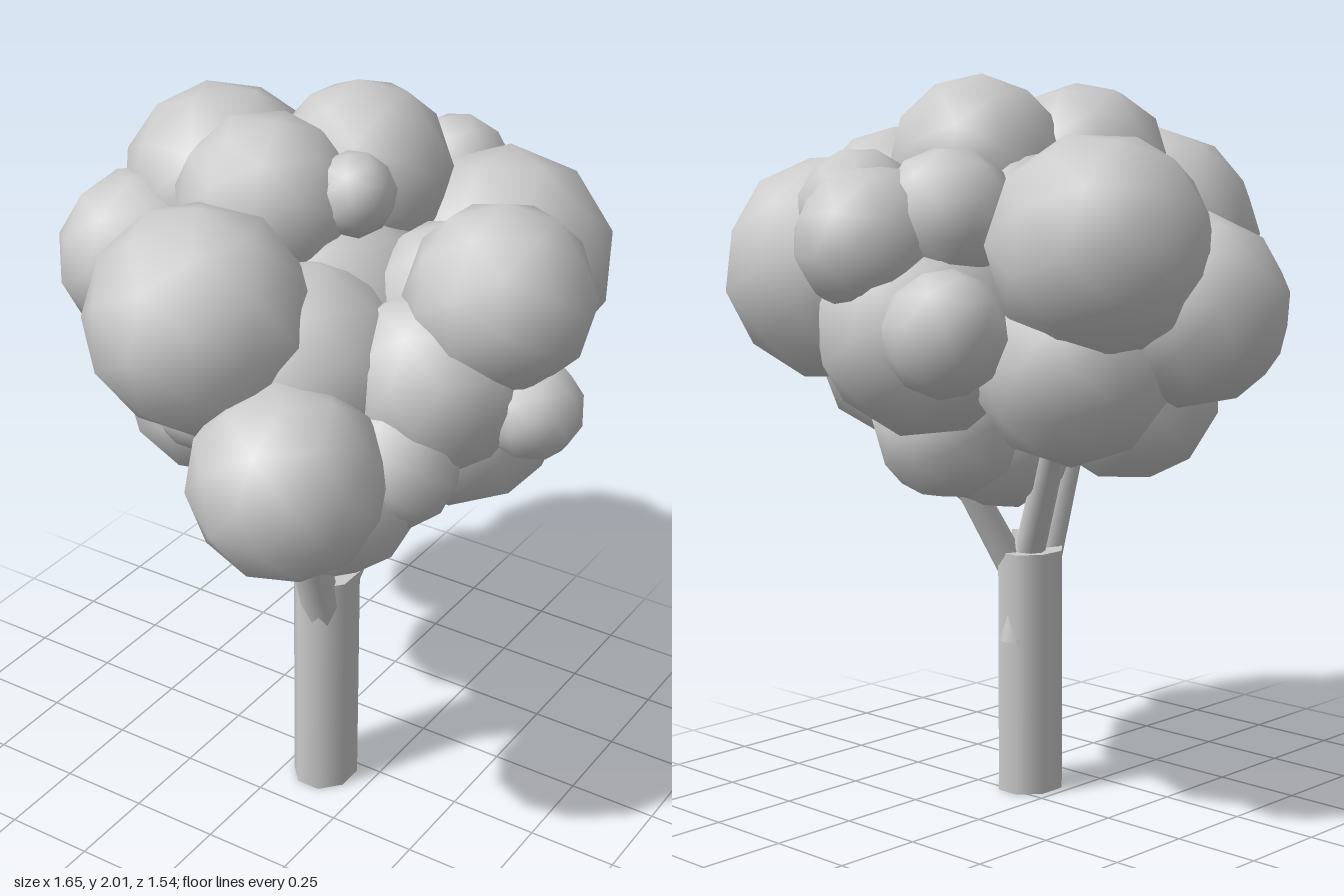
import * as THREE from 'three';

const material = new THREE.MeshStandardMaterial({ color: 0xcccccc });

// Tapered branch between two points
function branch(name, from, to, r0, r1, sides = 8) {
  const a = new THREE.Vector3(...from), b = new THREE.Vector3(...to);
  const dir = b.clone().sub(a);
  const mesh = new THREE.Mesh(new THREE.CylinderGeometry(r1, r0, dir.length(), sides), material);
  mesh.position.copy(a).add(b).multiplyScalar(0.5);
  mesh.quaternion.setFromUnitVectors(new THREE.Vector3(0, 1, 0), dir.normalize());
  mesh.name = name;
  return mesh;
}

// Foliage clumps: x, y, z, radius
const frontClumps = [
  [-0.04, 1.57, 0.43, 0.29], [0.28, 1.25, 0.52, 0.25], [0.29, 1.16, 0.34, 0.24],
  [-0.24, 1.18, 0.08, 0.25], [-0.13, 1.25, 0.30, 0.13], [0.13, 1.40, 0.25, 0.29],
];
const leftClumps = [
  [0.575, 1.62, 0.01, 0.24], [0.69, 1.35, 0.03, 0.13], [0.43, 1.25, -0.07, 0.27],
  [0.45, 1.40, 0.12, 0.24], [0.43, 1.235, 0.27, 0.175], [0.40, 1.50, -0.08, 0.24],
];
const rightClumps = [
  [-0.58, 1.42, -0.06, 0.245], [-0.465, 1.58, -0.285, 0.285], [-0.36, 1.28, -0.27, 0.255],
];
const backClumps = [
  [0.34, 1.50, -0.43, 0.30], [0.01, 1.36, -0.43, 0.28], [-0.21, 1.37, -0.57, 0.16],
  [0.06, 1.59, -0.57, 0.195], [0.125, 1.66, -0.545, 0.16], [-0.08, 1.65, -0.43, 0.175],
];
const topClumps = [
  [0.04, 1.77, -0.20, 0.235], [-0.07, 1.75, 0.09, 0.235], [0.15, 1.80, 0.02, 0.11],
  [-0.12, 1.64, -0.20, 0.18], [-0.20, 1.60, 0.0, 0.20],
];
const lowerClumps = [
  [0.17, 1.04, 0.0, 0.23], [0.10, 1.08, -0.26, 0.20], [0.05, 1.42, 0.0, 0.33],
];

export function createModel() {
  const tree = new THREE.Group();
  tree.name = 'tree';

  // Trunk, slightly deeper than wide
  const trunkShape = new THREE.CylinderGeometry(0.09, 0.09, 0.69, 8);
  trunkShape.rotateY(Math.PI / 8).scale(1, 1, 1.14);
  const trunk = new THREE.Mesh(trunkShape, material);
  trunk.name = 'trunk';
  trunk.position.set(0.108, 0.345, 0.07);
  tree.add(trunk);

  // Branches, with their lower ends sunk into the trunk
  tree.add(
    branch('frontBranchBase', [0.105, 0.43, 0.01], [0.11, 0.74, 0.07], 0.05, 0.05),
    branch('frontBranch', [0.115, 0.45, 0.062], [0.145, 1.1, 0.305], 0.056, 0.05),
    branch('rightBranch', [0.15, 0.58, 0.08], [-0.1, 1.08, -0.04], 0.045, 0.038),
    branch('backBranch', [0.125, 0.58, 0.06], [0.22, 1.05, -0.18], 0.045, 0.035)
  );

  // Crown of rounded clumps, each turned differently
  const ball = new THREE.IcosahedronGeometry(1.02, 1);
  const crown = new THREE.Group();
  crown.name = 'crown';
  const sets = { frontClumps, leftClumps, rightClumps, backClumps, topClumps, lowerClumps };
  let n = 0;
  for (const [name, clumps] of Object.entries(sets)) {
    const group = new THREE.Group();
    group.name = name;
    for (const [x, y, z, r] of clumps) {
      const clump = new THREE.Mesh(ball, material);
      clump.name = 'foliageClump';
      clump.position.set(x, y, z);
      clump.scale.setScalar(r);
      clump.rotation.set(n * 1.3, n * 2.1, n * 0.7);
      group.add(clump);
      n++;
    }
    crown.add(group);
  }
  tree.add(crown);
  return tree;
}
